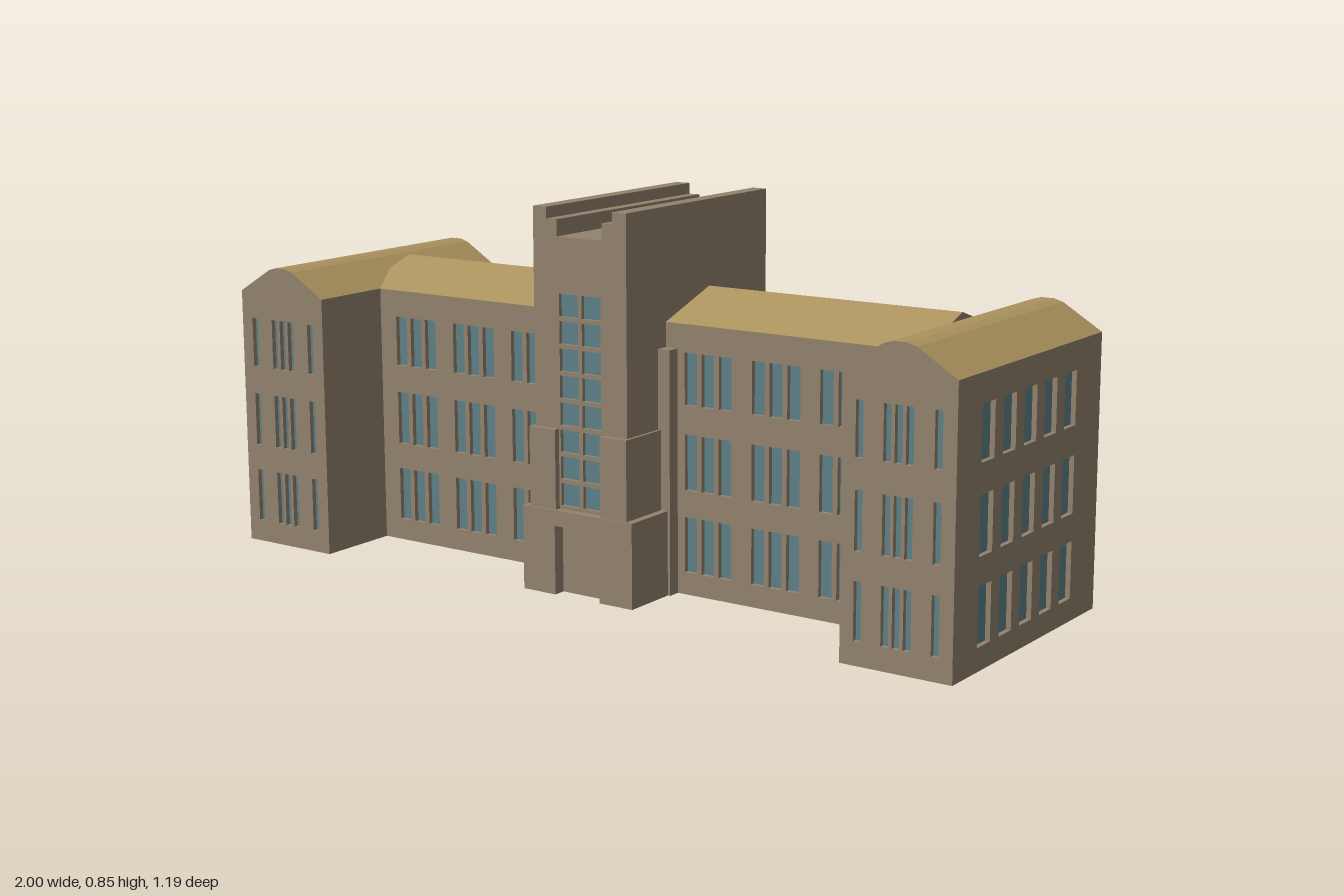
import * as THREE from 'three';

export function createModel() {
  const mat = (name, color) => {
    const m = new THREE.MeshStandardMaterial({ color });
    m.name = name;
    return m;
  };
  const wall = mat('tan wall', 0x93836f);
  const roof = mat('ochre roof', 0xac935f);
  const glass = mat('blue glass', 0x5f8189);

  const mesh = (parent, name, geo, material) => {
    const m = new THREE.Mesh(geo, material);
    m.name = name;
    parent.add(m);
    return m;
  };

  // Box given by its limits on each axis
  const block = (parent, name, x0, x1, y0, y1, z0, z1, material = wall) => {
    const m = mesh(parent, name, new THREE.BoxGeometry(x1 - x0, y1 - y0, z1 - z0), material);
    m.position.set((x0 + x1) / 2, (y0 + y1) / 2, (z0 + z1) / 2);
    return m;
  };

  const polygon = (pts) => new THREE.Shape(pts.map(([x, y]) => new THREE.Vector2(x, y)));
  const prism = (pts, depth) =>
    new THREE.ExtrudeGeometry(polygon(pts), { depth, bevelEnabled: false });

  // Wall panel facing +z with window openings [x, y, width, height] and glass behind
  const facade = (parent, name, x0, x1, y0, y1, depth, openings) => {
    const g = new THREE.Group();
    g.name = name;
    parent.add(g);
    const shape = polygon([[x0, y0], [x1, y0], [x1, y1], [x0, y1]]);
    for (const [x, y, w, h] of openings) {
      const a = x - w / 2, b = x + w / 2;
      shape.holes.push(new THREE.Path([[a, y], [a, y + h], [b, y + h], [b, y]]
        .map(([px, py]) => new THREE.Vector2(px, py))));
      block(g, 'windowGlass', a, b, y, y + h, -0.002, 0.001, glass);
    }
    mesh(g, 'windowWall', new THREE.ExtrudeGeometry(shape, { depth, bevelEnabled: false }), wall);
    return g;
  };

  // Three storeys of windows at the given x positions
  const storeys = [[0.05, 0.124], [0.234, 0.124], [0.422, 0.116]];
  const windowGrid = (xs, w) =>
    storeys.flatMap(([y, h]) => xs.map((x) => [x, y, w, h]));

  const model = new THREE.Group();
  model.name = 'building';
  const body = new THREE.Group();
  body.name = 'buildingBody';
  body.position.y = 0.006;
  body.rotation.set(0, -0.3063, 0.0055);
  model.add(body);

  const EAVE = 0.6;
  const D = 0.012;

  // Long central range: core, gabled roof and two window walls
  block(body, 'mainBlock', -0.7, 0.7, 0, EAVE, -0.232, 0.1 - D);
  const mainRoof = mesh(body, 'mainRoof',
    prism([[-0.1, EAVE], [0.232, EAVE], [0.066, 0.657]], 1.5), [wall, roof]);
  mainRoof.rotation.y = Math.PI / 2;
  mainRoof.position.x = -0.75;
  for (const side of [-1, 1]) {
    const centres = side < 0 ? [-0.589, -0.416, -0.245] : [0.232, 0.404, 0.572];
    const xs = centres.flatMap((c) => [c - 0.044, c, c + 0.044]);
    const [a, b] = side < 0 ? [-0.7, -0.12] : [0.12, 0.7];
    const f = facade(body, 'mainWindowWall', a, b, 0, EAVE, D, windowGrid(xs, 0.032));
    f.position.z = 0.1 - D;
  }

  // End wings: cross blocks with crowned gable roofs, windows in front and outer walls
  const HW = 0.1265, HL = 0.3145;
  for (const side of [-1, 1]) {
    const wing = new THREE.Group();
    wing.name = side > 0 ? 'leftWing' : 'rightWing';
    wing.position.set(side * 0.823, 0, side > 0 ? 0.007 : -0.0145);
    body.add(wing);
    const outer = side * (HW - D), inner = -side * HW;
    block(wing, 'wingBlock', Math.min(outer, inner), Math.max(outer, inner), 0, EAVE, -HL, HL - D);
    const front = facade(wing, 'wingFrontWall', -HW, HW, 0, EAVE, D,
      windowGrid([-0.087, -0.025, 0, 0.025, 0.087], 0.017));
    front.position.z = HL - D;
    const flank = facade(wing, 'wingSideWall', -HL + D, HL - D, 0, EAVE, D,
      windowGrid([-2, -1, 0, 1, 2].map((i) => i * 0.09 - side * 0.008), 0.054));
    flank.rotation.y = side * Math.PI / 2;
    flank.position.x = outer;
    // Close the short strip of outer wall behind the window panel
    block(wing, 'wingCorner', Math.min(outer, side * HW), Math.max(outer, side * HW),
      0, EAVE, -HL, -HL + D);
    const cap = mesh(wing, 'wingRoof', prism([[-HW, EAVE], [HW, EAVE], [0.036, 0.655],
      [0.015, 0.661], [-0.015, 0.661], [-0.036, 0.655]], 2 * HL), [wall, roof]);
    cap.position.z = -HL;
  }

  // Central tower with a stepped channel running along its top
  const tower = new THREE.Group();
  tower.name = 'tower';
  body.add(tower);
  const T = 0.123, TOP = 0.849;
  const shaft = mesh(tower, 'towerShaft', prism([[-T, 0], [T, 0], [T, TOP], [0.087, TOP],
    [0.087, 0.824], [0.06, 0.824], [0.06, 0.787], [-0.06, 0.787], [-0.06, 0.824],
    [-0.087, 0.824], [-0.087, TOP], [-T, TOP]], 0.53), wall);
  shaft.position.z = -0.296;
  const panes = [];
  for (let row = 0; row < 8; row++)
    for (const x of [-0.03, 0.03]) panes.push([x, 0.198 + row * 0.0595, 0.05, 0.05]);
  const towerFront = facade(tower, 'towerWindowWall', -T, T, 0.19, 0.78, 0.01, panes);
  towerFront.position.z = 0.234;

  // Upper front strip beside and below the channel
  const crown = mesh(tower, 'towerCrown', prism([[-T, 0.78], [T, 0.78], [T, TOP], [0.087, TOP],
    [0.087, 0.824], [0.06, 0.824], [0.06, 0.787], [-0.06, 0.787], [-0.06, 0.824],
    [-0.087, 0.824], [-0.087, TOP], [-T, TOP]], 0.01), wall);
  crown.position.z = 0.234;

  // Shoulders flanking the tower
  block(tower, 'towerShoulder', -0.153, 0.153, 0, 0.545, -0.299, 0.13);

  // Entrance: piers, lintel and the balcony blocks above them
  for (const side of [-1, 1]) {
    const span = (a, b) => (side > 0 ? [a, b] : [-b, -a]);
    block(tower, 'entrancePier', ...span(0.06, 0.147), 0, 0.19, 0.12, 0.263);
    block(tower, 'balconyBlock', ...span(0.06, 0.13), 0.19, 0.368, 0.12, 0.258);
  }
  block(tower, 'entranceLintel', -0.06, 0.06, 0.155, 0.19, 0.2, 0.263);

  return model;
}
